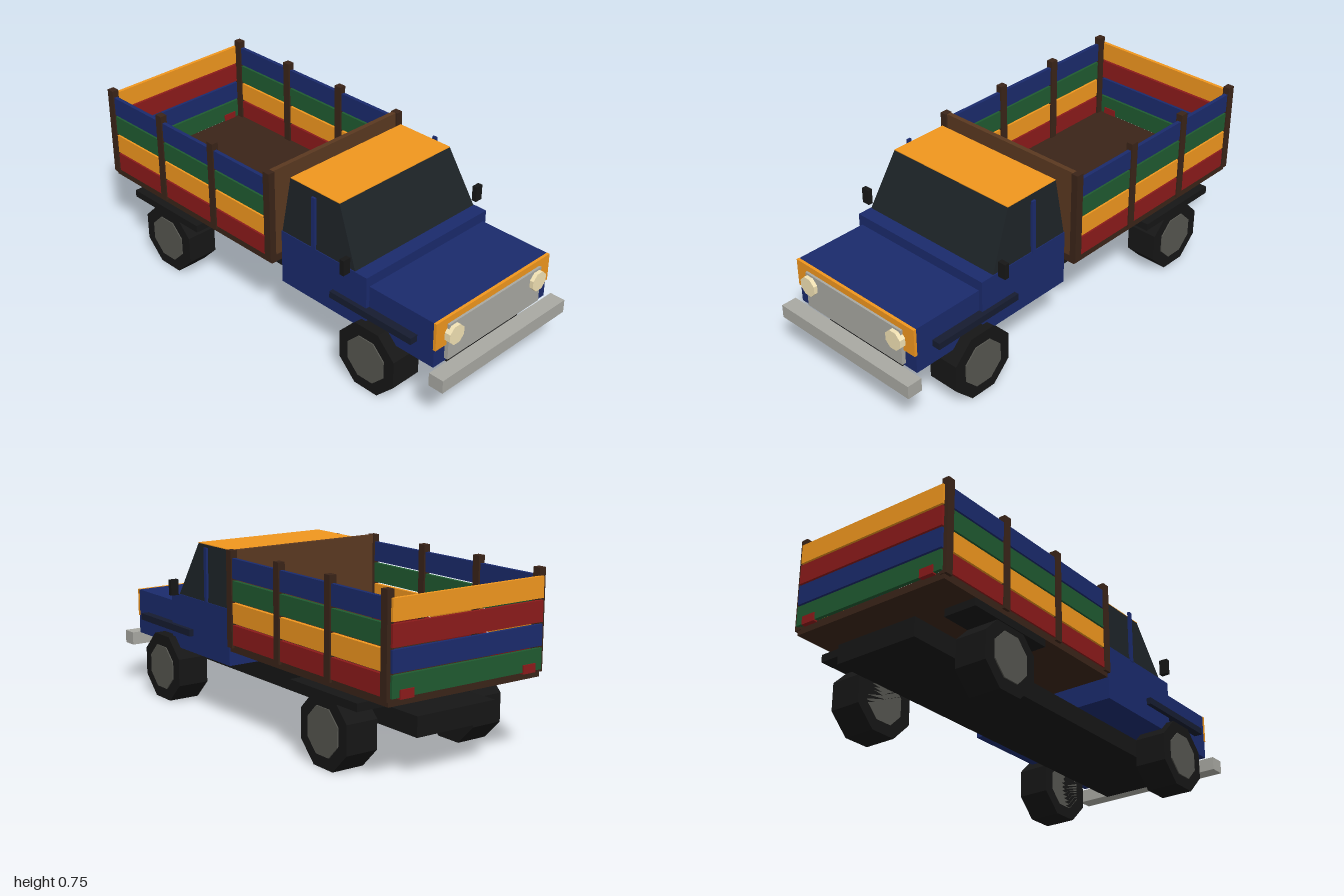
import * as THREE from 'three';

const mat = (color) => new THREE.MeshStandardMaterial({ color, flatShading: true });
const M = {
  blue: mat(0x1a2a6c), navy: mat(0x161c30), orange: mat(0xf0961e), red: mat(0x8b1a1a),
  green: mat(0x1f5a30), wood: mat(0x5a3820), darkWood: mat(0x3a2418), black: mat(0x161616),
  glass: mat(0x1c2226), hub: mat(0x55554f), metal: mat(0xa8a8a2), lamp: mat(0xf2e2b4),
};

export function createModel() {
  const truck = new THREE.Group();
  truck.name = 'truck';

  const add = (name, geometry, material) => {
    const mesh = new THREE.Mesh(geometry, material);
    mesh.name = name;
    truck.add(mesh);
    return mesh;
  };
  // Box given by its limits on each axis
  const box = (name, material, [x0, x1], [y0, y1], [z0, z1]) =>
    add(name, new THREE.BoxGeometry(x1 - x0, y1 - y0, z1 - z0)
      .translate((x0 + x1) / 2, (y0 + y1) / 2, (z0 + z1) / 2), material);
  const wide = (w) => [-w, w];
  // The same box on both sides
  const pair = (name, material, [x0, x1], y, z) => {
    box(name + 'Left', material, [x0, x1], y, z);
    box(name + 'Right', material, [-x1, -x0], y, z);
  };

  // Chassis and front bumper
  box('chassis', M.black, wide(0.195), [0.167, 0.25], [-0.93, 0.9]);
  box('bumper', M.metal, wide(0.372), [0.186, 0.245], [0.93, 1]);

  // Eight-sided wheels with flat hubs
  for (const side of [1, -1]) {
    for (const [end, z] of [['front', 0.62], ['rear', -0.61]]) {
      const disc = (r, w, x) => new THREE.CylinderGeometry(r, r, w, 8)
        .rotateY(Math.PI / 8).rotateZ(Math.PI / 2).translate(side * x, 0.147, z);
      add(end + 'Tire', disc(0.159, 0.145, 0.3175), M.black);
      add(end + 'Hub', disc(0.104, 0.15, 0.32), M.hub);
    }
  }

  // Hood, cab and fenders
  box('hood', M.blue, wide(0.338), [0.245, 0.45], [0.57, 0.92]);
  box('cab', M.blue, wide(0.355), [0.25, 0.495], [0.105, 0.583]);
  pair('frontFender', M.navy, [0.33, 0.375], [0.325, 0.355], [0.4, 0.835]);
  pair('rearFender', M.black, [0.245, 0.395], [0.275, 0.308], [-0.825, -0.397]);

  // Tapered windows: a box narrowed toward the top
  const glass = new THREE.BoxGeometry(2, 1, 1);
  const p = glass.attributes.position;
  for (let i = 0; i < p.count; i++) {
    const top = p.getY(i) > 0, front = p.getZ(i) > 0;
    p.setXYZ(i, p.getX(i) * (top ? 0.32 : 0.352), top ? 0.735 : 0.49,
      front ? (top ? 0.4 : 0.52) : (top ? 0.125 : 0.107));
  }
  glass.computeVertexNormals();
  add('windows', glass, M.glass);
  box('roof', M.orange, wide(0.32), [0.732, 0.738], [0.125, 0.4]);
  pair('doorPillar', M.blue, [0.347, 0.357], [0.49, 0.73], [0.28, 0.3]);
  pair('mirror', M.black, [0.373, 0.41], [0.497, 0.566], [0.49, 0.512]);

  // Nose panel, grille and headlights
  box('nosePanel', M.orange, wide(0.339), [0.327, 0.451], [0.915, 0.928]);
  box('grille', M.metal, wide(0.277), [0.26, 0.423], [0.915, 0.938]);
  for (const side of [1, -1]) {
    add('headlight', new THREE.CylinderGeometry(0.044, 0.044, 0.03, 8)
      .rotateY(Math.PI / 8).rotateX(Math.PI / 2).translate(side * 0.249, 0.373, 0.94), M.lamp);
  }

  // Cargo bed floor and headboard
  box('bedFloor', M.darkWood, wide(0.375), [0.325, 0.357], [-0.98, 0.065]);
  box('headboard', M.wood, wide(0.37), [0.345, 0.754], [0.04, 0.062]);

  // Coloured boards, bottom to top, on the sides and the tailgate
  const sideColors = [M.red, M.orange, M.green, M.blue];
  const tailColors = [M.green, M.blue, M.red, M.orange];
  for (let i = 0; i < 4; i++) {
    const y = [0.358 + i * 0.0935, 0.443 + i * 0.0935];
    pair('sideBoard', sideColors[i], [0.364, 0.381], y, [-0.98, 0.04]);
    box('tailBoard', tailColors[i], wide(0.37), y, [-0.995, -0.979]);
  }

  // Stake posts
  for (const z of [0.053, -0.291, -0.627, -0.966]) {
    pair('post', M.darkWood, [0.356, 0.387], [0.345, 0.755], [z - 0.018, z + 0.018]);
  }

  // Tail lights
  pair('tailLight', M.red, [0.27, 0.335], [0.352, 0.388], [-1, -0.975]);

  return truck;
}
